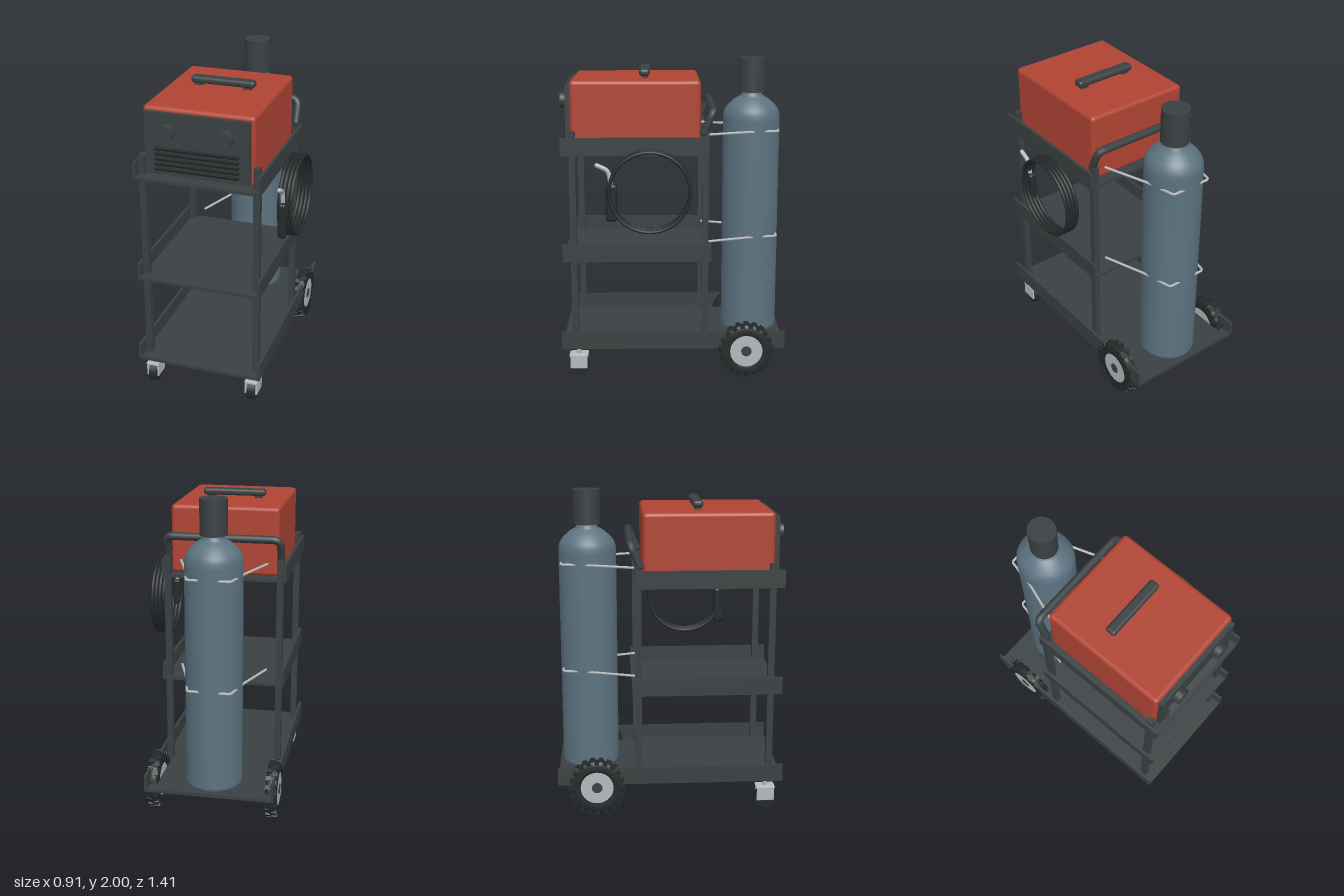
import * as THREE from 'three';
import { mergeGeometries } from 'three/addons/utils/BufferGeometryUtils.js';
import { RoundedBoxGeometry } from 'three/addons/geometries/RoundedBoxGeometry.js';

const mat = (color, side = THREE.FrontSide) => new THREE.MeshStandardMaterial({ color, side });
const frame = mat(0x3a4042);
const rubber = mat(0x25292a);
const red = mat(0xb04434);
const steel = mat(0xb4b9bc);
const blue = mat(0x5c7380);
const CX = -0.047; // cart centre line
const V = (x, y, z) => new THREE.Vector3(x, y, z);

function add(parent, name, geo, material, x = 0, y = 0, z = 0) {
  const m = new THREE.Mesh(geo, material);
  m.name = name;
  m.position.set(x, y, z);
  parent.add(m);
  return m;
}

function group(parent, name, x = 0, y = 0, z = 0) {
  const g = new THREE.Group();
  g.name = name;
  g.position.set(x, y, z);
  parent.add(g);
  return g;
}

// Box given by its lowest and highest corners
function block(parent, name, [x0, y0, z0], [x1, y1, z1], material, r = 0) {
  const s = [x1 - x0, y1 - y0, z1 - z0];
  const geo = r ? new RoundedBoxGeometry(...s, 3, r) : new THREE.BoxGeometry(...s);
  return add(parent, name, geo, material, (x0 + x1) / 2, (y0 + y1) / 2, (z0 + z1) / 2);
}

// Straight runs joined by rounded bends
function bentPath(pts, bend) {
  const path = new THREE.CurvePath();
  let from = pts[0];
  for (let i = 1; i < pts.length; i++) {
    const p = pts[i];
    if (i === pts.length - 1) { path.add(new THREE.LineCurve3(from, p)); break; }
    const a = p.clone().add(pts[i - 1].clone().sub(p).setLength(bend));
    const b = p.clone().add(pts[i + 1].clone().sub(p).setLength(bend));
    path.add(new THREE.LineCurve3(from, a));
    path.add(new THREE.QuadraticBezierCurve3(a, p, b));
    from = b;
  }
  return path;
}

function tube(parent, name, pts, r, bend, material, caps = true) {
  add(parent, name, new THREE.TubeGeometry(bentPath(pts, bend), 80, r, 10), material);
  if (caps) for (const p of [pts[0], pts[pts.length - 1]]) {
    add(parent, name + 'End', new THREE.SphereGeometry(r, 10, 8), material, p.x, p.y, p.z);
  }
}

// Shelf plate with an upright rail on each side
function tray(parent, name, y, z0, z1, half) {
  const g = group(parent, name, CX);
  block(g, 'plate', [-half, y, z0], [half, y + 0.02, z1], frame);
  for (const s of [-1, 1]) {
    const a = s * half, b = s * (half - 0.018);
    block(g, 'sideRail', [Math.min(a, b), y, z0], [Math.max(a, b), y + 0.11, z1], frame);
  }
}

// Treaded tyre and hub, axle along x
function rearWheel(parent, side) {
  const g = group(parent, 'rearWheel', CX + side * 0.372, 0.18, -0.463);
  const profile = [[0.1, -0.03], [0.115, -0.035], [0.145, -0.035], [0.163, -0.028], [0.172, -0.014],
    [0.172, 0.014], [0.163, 0.028], [0.145, 0.035], [0.115, 0.035], [0.1, 0.03], [0.1, -0.03]]
    .map(p => new THREE.Vector2(...p));
  add(g, 'tyre', new THREE.LatheGeometry(profile, 40).rotateZ(Math.PI / 2), rubber);
  const lugs = [];
  for (const row of [-1, 1]) {
    for (let i = 0; i < 20; i++) {
      const lug = new THREE.BoxGeometry(0.032, 0.026, 0.028);
      lug.translate(row * 0.019, 0.166, 0).rotateX((i + (row > 0 ? 0.5 : 0)) * Math.PI / 10);
      lugs.push(lug);
    }
  }
  add(g, 'tread', mergeGeometries(lugs), rubber);
  add(g, 'hub', new THREE.CylinderGeometry(0.103, 0.103, 0.062, 36).rotateZ(Math.PI / 2), steel);
  add(g, 'axleCap', new THREE.CylinderGeometry(0.033, 0.033, 0.07, 24).rotateZ(Math.PI / 2), frame);
}

// Small swivel wheel in a forked bracket
function caster(parent, side) {
  const g = group(parent, 'caster', CX + side * 0.33, 0, 0.605);
  add(g, 'casterWheel', new THREE.CylinderGeometry(0.067, 0.067, 0.05, 28).rotateZ(Math.PI / 2), rubber, 0, 0.067, 0);
  for (const s of [-1, 1]) {
    block(g, 'forkArm', [s * 0.035 - 0.006, 0.055, -0.055], [s * 0.035 + 0.006, 0.14, 0.055], steel, 0.005);
  }
  block(g, 'forkTop', [-0.041, 0.132, -0.06], [0.041, 0.15, 0.06], steel, 0.006);
  add(g, 'stem', new THREE.CylinderGeometry(0.014, 0.014, 0.06, 12), steel, 0, 0.175, 0);
}

export function createModel() {
  const model = new THREE.Group();
  model.name = 'weldingCart';

  // Cart frame
  const cart = group(model, 'cart');
  tray(cart, 'bottomTray', 0.2, -0.705, 0.705, 0.4);
  tray(cart, 'middleTray', 0.77, -0.235, 0.69, 0.39);
  tray(cart, 'topTray', 1.44, -0.215, 0.69, 0.39);
  for (const s of [-1, 1]) {
    for (const z of [0.62, -0.198]) {
      const x = CX + s * 0.353;
      block(cart, 'post', [x - 0.02, 0.21, z - 0.02], [x + 0.02, 1.585, z + 0.02], frame);
    }
    rearWheel(cart, s);
    caster(cart, s);
  }

  // Push handle leaning backwards
  tube(cart, 'pushHandle', [V(CX - 0.355, 1.575, -0.185), V(CX - 0.355, 1.71, -0.243),
    V(CX + 0.355, 1.71, -0.243), V(CX + 0.355, 1.575, -0.185)], 0.024, 0.05, frame);

  // Power unit with control panel
  const unit = group(model, 'powerUnit');
  block(unit, 'casing', [-0.384, 1.463, -0.167], [0.292, 1.89, 0.632], red, 0.025);
  block(unit, 'frontPanel', [-0.362, 1.488, 0.62], [0.272, 1.865, 0.66], frame);
  for (const x of [-0.222, 0.128]) {
    add(unit, 'knob', new THREE.CylinderGeometry(0.048, 0.05, 0.045, 28).rotateX(Math.PI / 2), frame, x, 1.755, 0.677);
  }
  for (let i = 0; i < 5; i++) {
    const louver = add(unit, 'louver', new THREE.BoxGeometry(0.51, 0.014, 0.025), rubber, -0.045, 1.65 - i * 0.031, 0.664);
    louver.rotation.x = 0.35;
  }
  block(unit, 'carryHandle', [-0.247, 1.902, 0.143], [0.153, 1.945, 0.209], frame, 0.018);
  for (const x of [-0.2, 0.106]) {
    block(unit, 'handleFoot', [x - 0.025, 1.88, 0.156], [x + 0.025, 1.915, 0.196], frame);
  }

  // Gas bottle
  const bottle = group(model, 'gasBottle', CX, 0, -0.504);
  bottle.scale.x = 0.965;
  const outline = [[0, 0.22], [0.165, 0.22], [0.176, 0.227], [0.181, 0.245], [0.181, 1.61], [0.179, 1.645],
    [0.17, 1.675], [0.15, 1.703], [0.115, 1.735], [0.09, 1.752], [0.066, 1.765], [0.06, 1.8]]
    .map(p => new THREE.Vector2(...p));
  add(bottle, 'bottleBody', new THREE.LatheGeometry(outline, 48), blue);
  add(bottle, 'valveCap', new THREE.CylinderGeometry(0.086, 0.086, 0.215, 36), frame, 0, 1.8925, 0);

  // Retaining rods around the bottle
  for (const y of [0.867, 1.55]) {
    const pts = [[-0.27, -0.2], [-0.174, -0.48], [-0.132, -0.667], [0.132, -0.667], [0.174, -0.48], [0.27, -0.2]]
      .map(([x, z]) => V(CX + x, y, z));
    tube(model, 'retainingRod', pts, 0.008, 0.012, steel);
  }

  // Coiled cable and torch
  const torch = group(model, 'torch');
  for (let i = 0; i < 4; i++) {
    add(torch, 'cableLoop', new THREE.TorusGeometry(0.246, 0.011, 10, 64).rotateY(Math.PI / 2), rubber,
      0.368 + i * 0.0243, 1.232, 0.145);
  }
  block(torch, 'torchGrip', [0.366, 1.045, 0.343], [0.416, 1.277, 0.414], rubber, 0.018);
  tube(torch, 'torchNeck', [V(0.391, 1.25, 0.378), V(0.391, 1.36, 0.395), V(0.391, 1.392, 0.465)], 0.014, 0.03, steel);

  return model;
}
